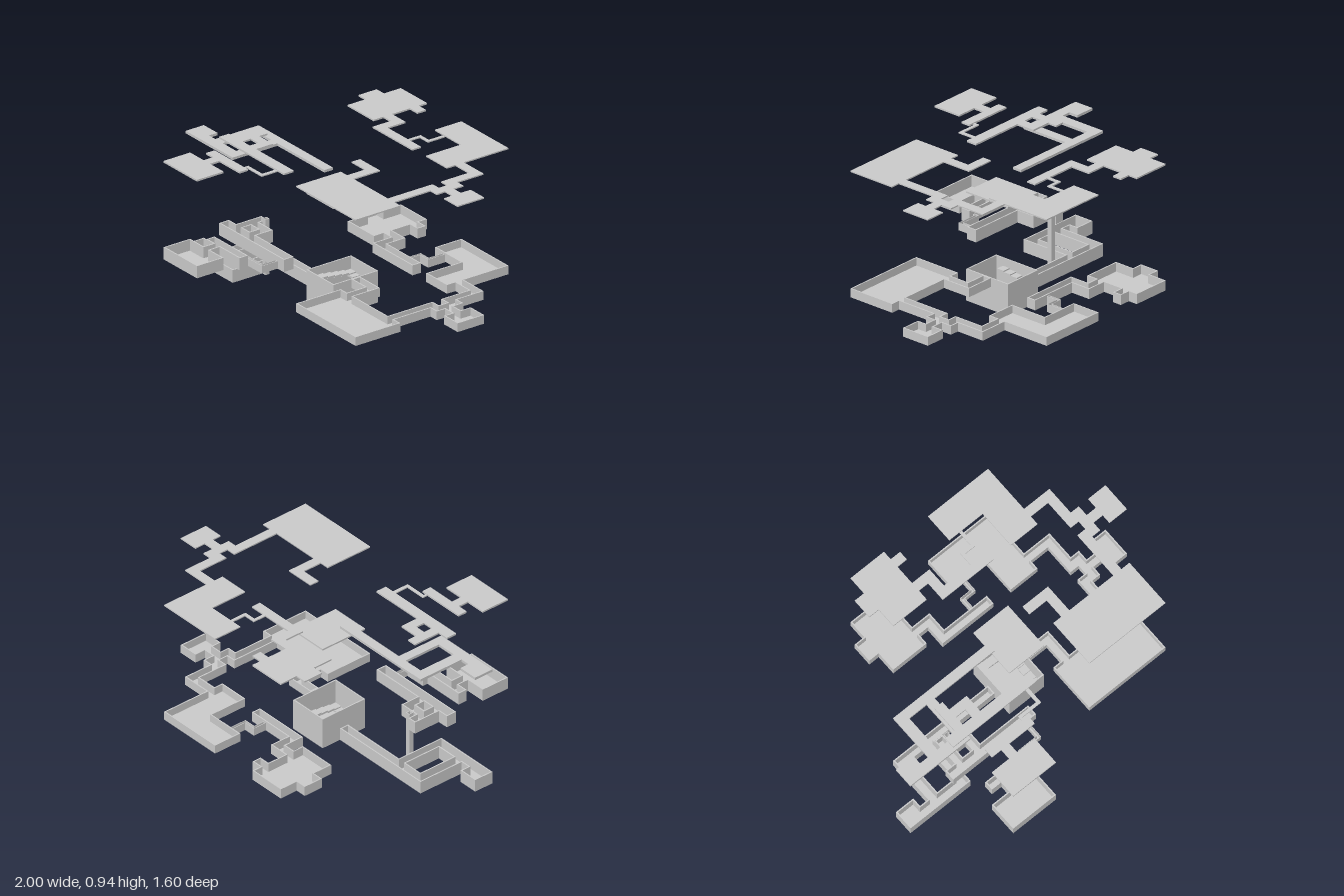
import * as THREE from 'three';

const mat = new THREE.MeshStandardMaterial({ color: 0xcccccc, flatShading: true, side: THREE.DoubleSide });

// Right-angled outline: each pair is a corner, joined to the next along x, then along z
function outline(pairs) {
  return pairs.flatMap(([x, z], i) => [
    new THREE.Vector2(x, z),
    new THREE.Vector2(pairs[(i + 1) % pairs.length][0], z),
  ]);
}

// Move every side of an outline inwards by t (outwards if t is negative)
function inset(points, t) {
  const sign = Math.sign(THREE.ShapeUtils.area(points)), n = points.length;
  const normal = (a, b) => {
    const d = b.clone().sub(a).normalize();
    return new THREE.Vector2(-d.y, d.x).multiplyScalar(sign * t);
  };
  return points.map((p, i) => p.clone()
    .add(normal(points[(i + n - 1) % n], p))
    .add(normal(p, points[(i + 1) % n])));
}

// Plan shape raised from y0 to y1
function slab(name, points, holes, y0, y1) {
  const shape = new THREE.Shape(points);
  holes.forEach(h => shape.holes.push(new THREE.Path(h)));
  const g = new THREE.ExtrudeGeometry(shape, { depth: y1 - y0, bevelEnabled: false });
  g.rotateX(Math.PI / 2).translate(0, y1, 0);
  const mesh = new THREE.Mesh(g, mat);
  mesh.name = name;
  return mesh;
}

// Open tray (floor and walls of thickness t) with a matching roof lifted above it
function section(name, level, plan, hole) {
  const { y0, y1, roof0, roof1, t = 0.008 } = level;
  const group = new THREE.Group();
  group.name = name;
  const outer = outline(plan), holes = hole ? [outline(hole)] : [];
  group.add(slab('floor', outer, holes, y0, y0 + 0.007));
  group.add(slab('walls', outer, [inset(outer, t)], y0, y1));
  holes.forEach(h => group.add(slab('innerWalls', inset(h, -t), [h], y0, y1)));
  group.add(slab('roof', outer, holes, roof0, roof1));
  return group;
}

// Passages round a courtyard on the lowest level
function lowerPassages() {
  const level = { y0: 0, y1: 0.08, roof0: 0.777, roof1: 0.793 };
  const plan = [[-0.81, -0.03], [-0.1, 0.03], [-0.55, 0.35], [-1, 0.22], [-0.87, 0.28]];
  return section('lowerPassages', level, plan, [[-0.74, 0.03], [-0.61, 0.28]]);
}

// Tall hall with stairs climbing around its inside
function stairHall() {
  const level = { y0: 0, y1: 0.2, roof0: 0.68, roof1: 0.69 };
  const hall = section('stairHall', level, [[-0.1, -0.16], [0.16, 0.16]]);
  const corners = [[-1, 1], [1, 1], [1, -1], [-1, -1]], steps = 5;
  corners.forEach(([ax, az], f) => {
    const [bx, bz] = corners[(f + 1) % 4];
    for (let i = 0; i < steps; i++) {
      const k = i / steps, h = 0.145 * (f * steps + i + 1) / (4 * steps);
      const step = new THREE.Mesh(new THREE.BoxGeometry(0.05, 0.012, 0.05), mat);
      step.position.set(0.03 + 0.095 * (ax + (bx - ax) * k), h, 0.125 * (az + (bz - az) * k));
      step.name = 'step';
      hall.add(step);
    }
  });
  return hall;
}

// Large rooms on the middle level, joined by one winding passage
function middleRooms() {
  const level = { y0: 0.145, y1: 0.2, roof0: 0.936, roof1: 0.944 };
  const innerSide = [[0.16, -0.03], [0.35, 0.16], [0.68, -0.16], [0.74, -0.22], [0.68, -0.42], [0.55, -0.36]];
  const cornerRoom = [[0.35, -0.61], [0.1, -0.8], [0.55, -0.48]];
  const sideRoom = [[0.74, -0.29], [0.8, -0.22], [0.87, -0.29], [1, -0.1], [0.87, -0.16], [0.8, -0.1]];
  const frontRoom = [[0.74, 0.16], [0.8, 0.48], [0.23, 0.16], [0.29, 0.03]];
  return section('middleRooms', level, [...innerSide, ...cornerRoom, ...sideRoom, ...frontRoom]);
}

// Notched room at the back with its passage and narrow crawlway
function backRoom() {
  const level = { y0: 0.137, y1: 0.2, roof0: 0.926, roof1: 0.936 };
  const room = [[-0.48, -0.8], [-0.23, -0.74], [-0.16, -0.68], [-0.23, -0.55]];
  const passage = [[-0.1, -0.42], [0.22, -0.36], [-0.16, -0.49]];
  const westSide = [[-0.23, -0.42], [-0.48, -0.55], [-0.55, -0.68]];
  return section('backRoom', level, [...room, ...passage, ...westSide]);
}

function backCrawlway() {
  const level = { y0: 0.14, y1: 0.19, roof0: 0.93, roof1: 0.937, t: 0.003 };
  return section('backCrawlway', level, [[0.175, -0.61], [0.195, -0.49], [0.117, -0.42], [0.097, -0.51]]);
}

// Upper level: looped passages, a crawlway and a front room
const upper = { y0: 0.253, y1: 0.33, roof0: 0.865, roof1: 0.876 };

function upperPassages() {
  const plan = [[-0.61, 0.1], [-0.55, 0.16], [-0.42, 0.28], [-0.06, 0.35], [-0.68, 0.28]];
  return section('upperPassages', upper, plan, [[-0.55, 0.22], [-0.48, 0.28]]);
}

function upperCrawlway() {
  const level = { ...upper, y1: 0.3, roof1: 0.872, t: 0.003 };
  return section('upperCrawlway', level, [[-0.14, 0.35], [-0.118, 0.465], [-0.26, 0.48], [-0.275, 0.445]]);
}

function upperRoom() {
  const plan = [[-0.55, 0.48], [-0.23, 0.54], [-0.42, 0.61], [-0.29, 0.8], [-0.61, 0.61], [-0.48, 0.54]];
  return section('upperRoom', upper, plan);
}

// Hollow shaft joining the lower and upper passages
function shaft() {
  const square = outline([[-0.55, 0.108], [-0.52, 0.138]]);
  return slab('shaft', square, [inset(square, 0.004)], 0, 0.35);
}

export function createModel() {
  const model = new THREE.Group();
  model.name = 'dungeon';
  model.add(lowerPassages(), stairHall(), middleRooms(), backRoom(), backCrawlway());
  model.add(upperPassages(), upperCrawlway(), upperRoom(), shaft());
  return model;
}
